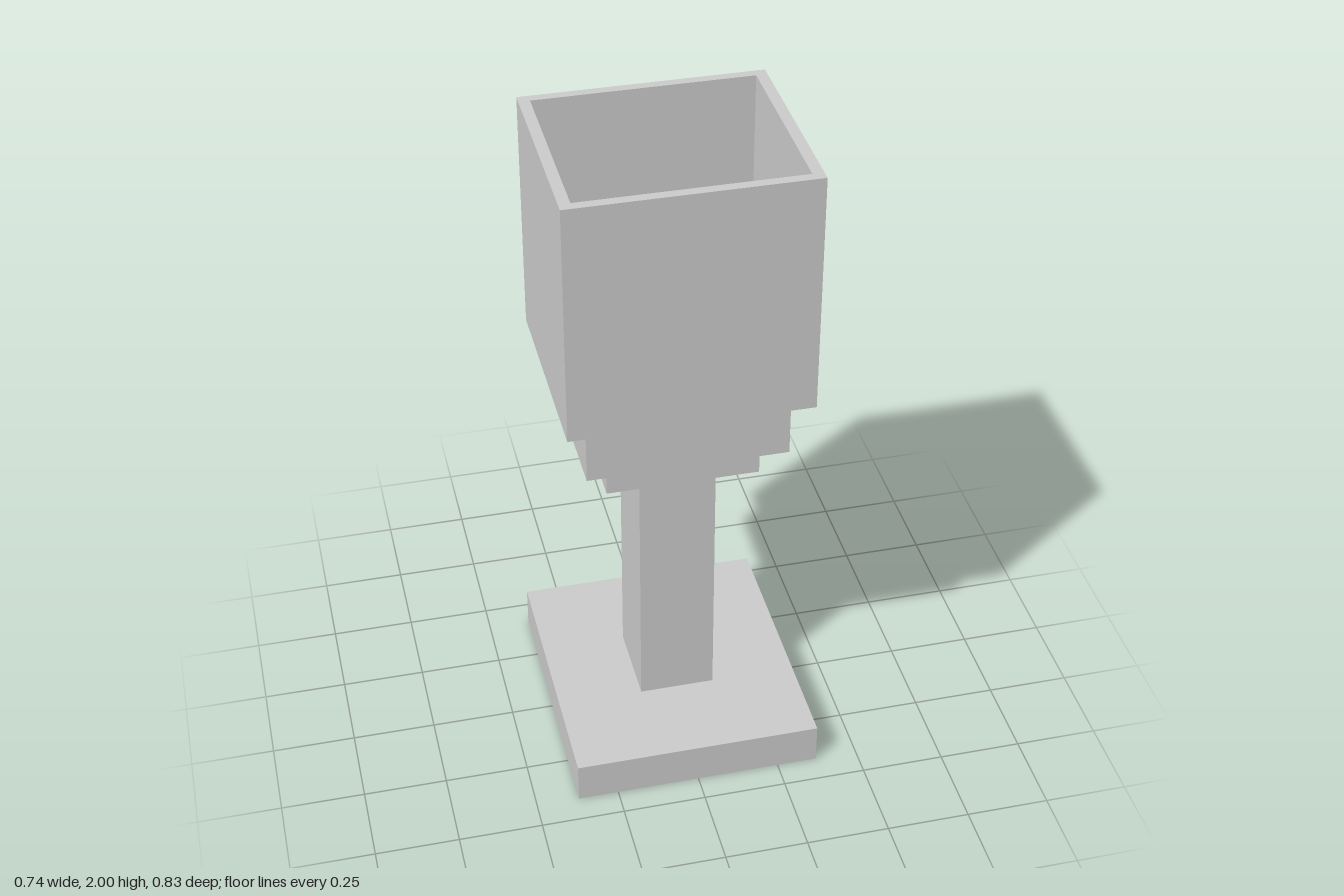
import * as THREE from 'three';

const material = new THREE.MeshStandardMaterial({ color: 0xcccccc, flatShading: true });

// Box given by its extents on each axis
function block(name, [x0, x1], [y0, y1], [z0, z1]) {
  const mesh = new THREE.Mesh(new THREE.BoxGeometry(x1 - x0, y1 - y0, z1 - z0), material);
  mesh.name = name;
  mesh.position.set((x0 + x1) / 2, (y0 + y1) / 2, (z0 + z1) / 2);
  return mesh;
}

// Counter-clockwise rectangle; shape y becomes -z once laid flat
function trace(path, [x0, x1], [z0, z1]) {
  path.moveTo(x0, -z1);
  path.lineTo(x1, -z1);
  path.lineTo(x1, -z0);
  path.lineTo(x0, -z0);
  path.closePath();
  return path;
}

export function createModel() {
  const goblet = new THREE.Group();
  goblet.name = 'squareGoblet';

  // Foot, stem and the two steps under the bowl
  goblet.add(
    block('foot', [-0.372, 0.372], [0, 0.127], [-0.417, 0.417]),
    block('stem', [-0.114, 0.114], [0.127, 0.98], [-0.13, 0.134]),
    block('lowerStep', [-0.225, 0.225], [0.98, 1.086], [-0.194, 0.204]),
    block('upperStep', [-0.294, 0.294], [1.086, 1.266], [-0.257, 0.268]),
  );

  // Hollow square bowl, open at the top
  const bowl = new THREE.Group();
  bowl.name = 'bowl';
  const bottom = 1.266, top = 2;
  const innerX = [-0.321, 0.321], innerZ = [-0.275, 0.286];
  const outline = trace(new THREE.Shape(), [-0.354, 0.354], [-0.303, 0.315]);
  outline.holes.push(trace(new THREE.Path(), innerX, innerZ));
  const wallGeometry = new THREE.ExtrudeGeometry(outline, { depth: top - bottom, bevelEnabled: false });
  wallGeometry.rotateX(-Math.PI / 2);
  const walls = new THREE.Mesh(wallGeometry, material);
  walls.name = 'bowlWalls';
  walls.position.y = bottom;
  bowl.add(walls, block('bowlFloor', innerX, [bottom, 1.3], innerZ));
  goblet.add(bowl);

  return goblet;
}
